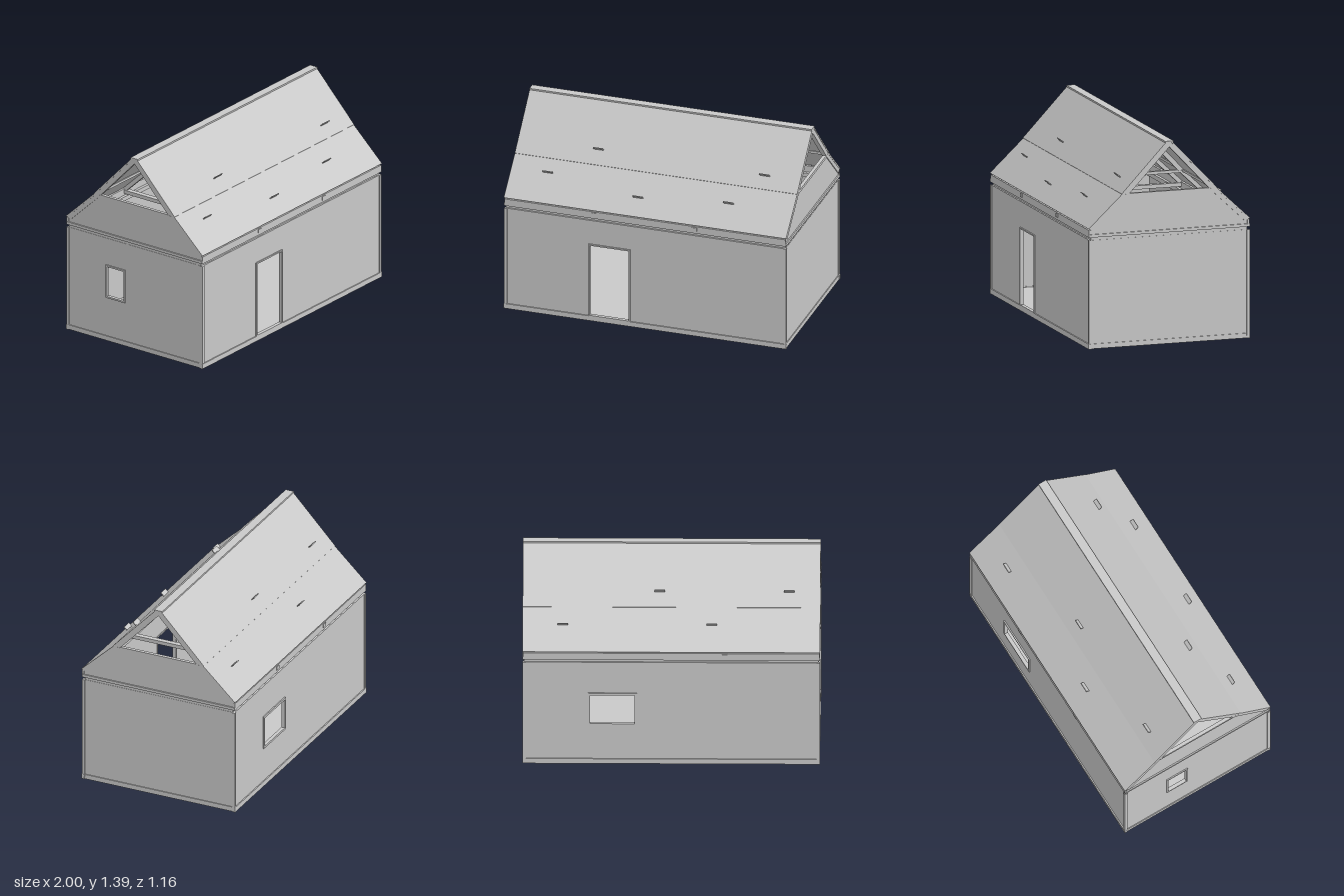
import * as THREE from 'three';

const boards = new THREE.MeshStandardMaterial({ color: 0xc8c8c8 });
boards.name = 'plain boards';

export function createModel() {
  const house = new THREE.Group();
  house.name = 'house';

  const add = (name, geometry) => {
    const mesh = new THREE.Mesh(geometry, boards);
    mesh.name = name;
    house.add(mesh);
    return mesh;
  };
  // box given by its limits
  const block = (name, x0, x1, y0, y1, z0, z1) => {
    const mesh = add(name, new THREE.BoxGeometry(x1 - x0, y1 - y0, z1 - z0));
    mesh.position.set((x0 + x1) / 2, (y0 + y1) / 2, (z0 + z1) / 2);
    return mesh;
  };
  const outline = (points, hole) => {
    const shape = new THREE.Shape(points.map(([a, b]) => new THREE.Vector2(a, b)));
    if (hole) shape.holes.push(new THREE.Path(hole.map(([a, b]) => new THREE.Vector2(a, b))));
    return shape;
  };
  const rect = (a0, a1, b0, b1) => [[a0, b0], [a1, b0], [a1, b1], [a0, b1]];
  const extrude = (shape, depth) => new THREE.ExtrudeGeometry(shape, { depth, bevelEnabled: false });
  // (z, y) profile drawn out along x
  const prism = (name, points, x0, x1, hole) => {
    const geometry = extrude(outline(points, hole), x1 - x0);
    geometry.rotateY(-Math.PI / 2);
    geometry.translate(x1, 0, 0);
    return add(name, geometry);
  };
  // (x, y) profile drawn out along z
  const sheet = (name, points, z0, z1, hole) => {
    const geometry = extrude(outline(points, hole), z1 - z0);
    geometry.translate(0, 0, z0);
    return add(name, geometry);
  };

  // floor and sills
  block('floor', -0.985, 0.985, 0.006, 0.028, -0.56, 0.56);
  for (const s of [-1, 1]) {
    block('longSill', -1, 1, 0, 0.035, s * 0.565 - 0.01, s * 0.565 + 0.01);
    block('endSill', s * 0.988 - 0.01, s * 0.988 + 0.01, 0.002, 0.035, -0.57, 0.57);
  }

  // walls with door and window openings
  const door = [-0.39, -0.115, 0.04, 0.56];
  const backWindow = [0.245, 0.545, 0.295, 0.505];
  const endWindow = [-0.23, -0.09, 0.325, 0.54];
  const longWall = rect(-0.99, 0.99, 0.03, 0.745);
  const endWall = rect(-0.565, 0.565, 0.03, 0.745);
  sheet('frontWall', longWall, 0.555, 0.567, rect(...door));
  sheet('backWall', longWall, -0.567, -0.555, rect(...backWindow));
  prism('leftWall', endWall, 0.98, 0.992);
  prism('rightWall', endWall, -0.992, -0.98, rect(...endWindow));

  // thin frames around the openings
  const grow = ([a0, a1, b0, b1], t) => rect(a0 - t, a1 + t, b0 - t, b1 + t);
  sheet('doorFrame', grow(door, 0.01), 0.55, 0.576, rect(...door));
  sheet('backWindowFrame', grow(backWindow, 0.015), -0.576, -0.55, rect(...backWindow));
  prism('endWindowFrame', grow(endWindow, 0.012), -1, -0.975, rect(...endWindow));

  // corner posts, wall plates and gable panels
  const gable = [[-0.565, 0.765], [0.565, 0.765], [0.565, 0.815], [0.32, 1.045], [-0.32, 1.045], [-0.565, 0.815]];
  for (const sx of [-1, 1]) {
    for (const sz of [-1, 1]) {
      block('cornerPost', sx * 0.988 - 0.011, sx * 0.988 + 0.011, 0.02, 0.745,
        sz * 0.562 - 0.011, sz * 0.562 + 0.011);
    }
    block('endPlate', sx * 0.98 - 0.01, sx * 0.98 + 0.01, 0.74, 0.77, -0.555, 0.555);
    block('endBand', sx * 0.99 - 0.01, sx * 0.99 + 0.01, 0.765, 0.785, -0.572, 0.572);
    prism('gablePanel', gable, sx * 0.985 - 0.006, sx * 0.985 + 0.006);
    block('gableTie', sx * 0.985 - 0.012, sx * 0.985 + 0.012, 1.03, 1.05, -0.32, 0.32);
  }
  for (const s of [-1, 1]) {
    block('longPlate', -0.985, 0.985, 0.74, 0.77, s * 0.545 - 0.01, s * 0.545 + 0.01);
    block('eaveBand', -0.995, 0.995, 0.765, 0.815, s * 0.565 - 0.008, s * 0.565 + 0.008);
  }

  // roof slopes, rafters and purlins, mirrored front to back
  const trusses = [-0.982, -0.36, 0.35, 0.982];
  for (const s of [-1, 1]) {
    const flip = (points) => points.map(([z, y]) => [z * s, y]);
    prism('lowerRoof', flip([[0.575, 0.825], [0.335, 1.05], [0.325, 1.045], [0.566, 0.819]]), -1, 1);
    prism('upperRoof', flip([[0.34, 1.05], [0.022, 1.385], [0.013, 1.381], [0.33, 1.046]]), -1, 1);
    block('purlin', -1, 1, 1.035, 1.052, s * 0.328 - 0.01, s * 0.328 + 0.01);
    for (const x of trusses) {
      prism('upperRafter', flip([[0.335, 1.048], [0.018, 1.383], [0, 1.383], [0, 1.35], [0.285, 1.048]]),
        x - 0.016, x + 0.016);
      prism('lowerRafter', flip([[0.566, 0.82], [0.33, 1.046], [0.285, 1.046], [0.54, 0.805]]),
        x - 0.016, x + 0.016);
    }
  }
  block('ridgeCap', -1, 1, 1.379, 1.39, -0.03, 0.03);

  // cross beams whose ends show under the eaves
  for (const x of trusses.slice(1, 3)) {
    block('crossBeam', x - 0.018, x + 0.018, 0.782, 0.808, -0.578, 0.578);
    block('collarTie', x - 0.012, x + 0.012, 1.03, 1.05, -0.32, 0.32);
  }

  // small cleats standing on the roof: x, y, z
  const cleats = [
    [-0.43, 1.14, 0.275], [0.75, 1.13, 0.285], [-0.74, 0.985, 0.42], [-0.08, 0.93, 0.485], [0.55, 0.967, 0.45],
    [-0.27, 0.97, -0.442], [0.73, 0.97, -0.442], [-0.79, 1.14, -0.272], [0.08, 1.14, -0.272],
  ];
  for (const [x, y, z] of cleats) {
    const cleat = add('roofCleat', new THREE.BoxGeometry(0.07, 0.006, 0.03));
    cleat.position.set(x, y, z);
    cleat.rotation.x = -Math.sign(z) * 0.75;
  }

  return house;
}
